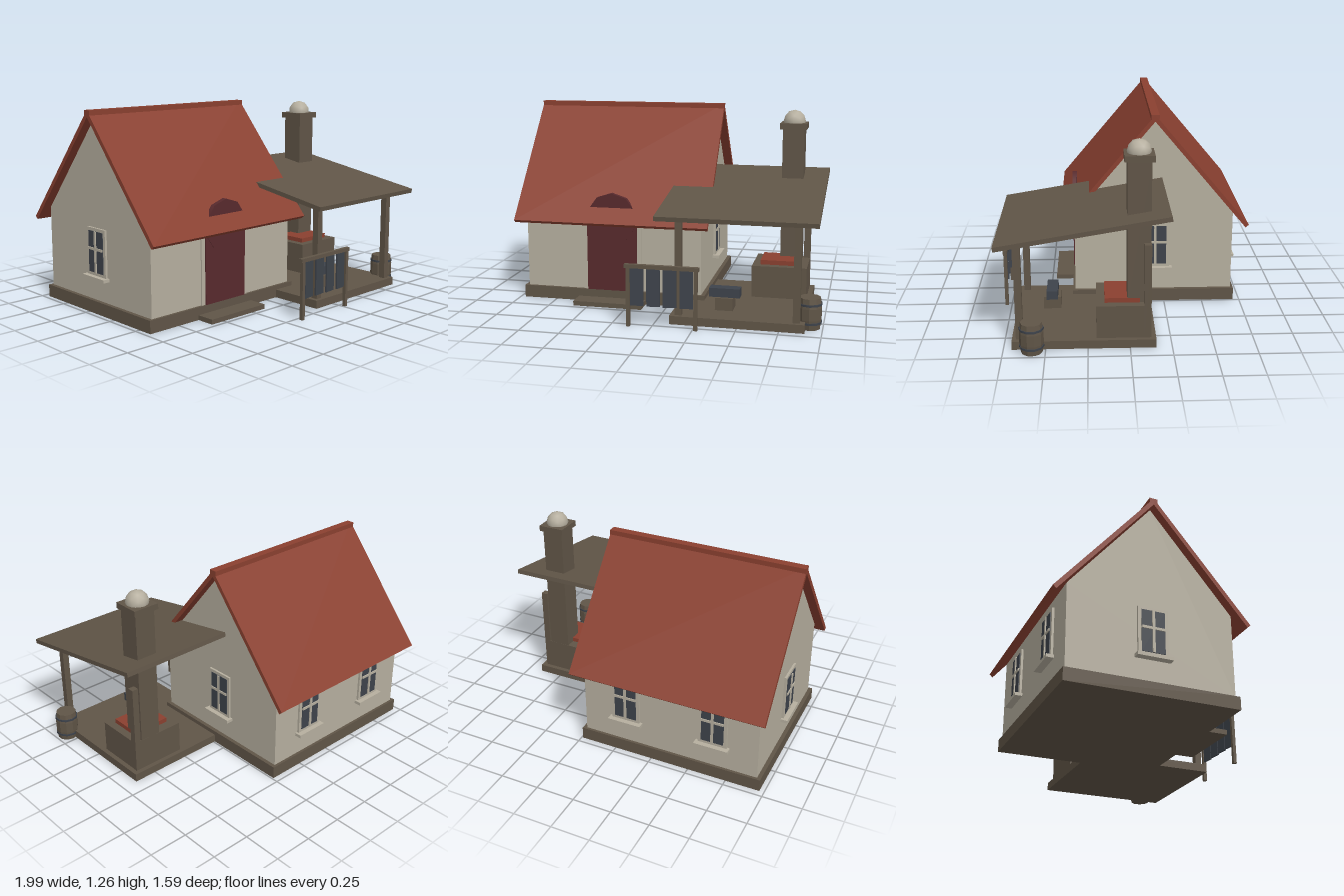
import * as THREE from 'three';

const paint = (name, color) => {
  const m = new THREE.MeshStandardMaterial({ color });
  m.name = name;
  return m;
};

export function createModel() {
  const root = new THREE.Group();
  root.name = 'cottageWithForge';

  const plaster = paint('plaster', 0xb6af9f);
  const tile = paint('redTile', 0x8a4030);
  const timber = paint('brownTimber', 0x605547);
  const maroon = paint('maroonDoor', 0x582a2d);
  const iron = paint('darkIron', 0x3e434b);

  const add = (name, geometry, material, parent = root) => {
    const mesh = new THREE.Mesh(geometry, material);
    mesh.name = name;
    parent.add(mesh);
    return mesh;
  };
  // Box given by its minimum and maximum on each axis
  const box = (name, material, [x0, x1], [y0, y1], [z0, z1], parent = root) => {
    const mesh = add(name, new THREE.BoxGeometry(x1 - x0, y1 - y0, z1 - z0), material, parent);
    mesh.position.set((x0 + x1) / 2, (y0 + y1) / 2, (z0 + z1) / 2);
    return mesh;
  };
  // Side profile, symmetric about the ridge, swept along x
  const ridgeZ = -0.18;
  const sweep = (name, material, points, x0, x1) => {
    const shape = new THREE.Shape(points.map(([z, y]) => new THREE.Vector2(z, y)));
    const geometry = new THREE.ExtrudeGeometry(shape, { depth: x1 - x0, bevelEnabled: false });
    geometry.rotateY(Math.PI / 2);
    add(name, geometry, material).position.set(x0, 0, ridgeZ);
  };

  // House body and roof
  box('foundation', timber, [-0.97, 0.24], [0, 0.08], [-0.71, 0.35]);
  sweep('walls', plaster, [[-0.513, 0.08], [0.513, 0.08], [0.513, 0.6], [0, 1.215], [-0.513, 0.6]], -0.945, 0.215);
  sweep('roof', tile, [[-0.59, 0.517], [0, 1.22], [0.59, 0.517], [0.61, 0.535], [0, 1.262], [-0.61, 0.535]], -1, 0.27);
  box('ridgeCap', tile, [-1, 0.27], [1.225, 1.262], [ridgeZ - 0.026, ridgeZ + 0.026]);

  // Door with a round head that rises through the roof
  box('doorFrame', plaster, [-0.56, -0.175], [0.08, 0.57], [0.32, 0.342]);
  box('door', maroon, [-0.532, -0.202], [0.08, 0.555], [0.325, 0.35]);
  const head = add('doorHead', new THREE.CylinderGeometry(0.165, 0.165, 0.03, 10).rotateX(-Math.PI / 2), maroon);
  head.position.set(-0.367, 0.555, 0.338);
  box('doorStep', timber, [-0.595, -0.145], [0, 0.03], [0.345, 0.47]);

  // Windows, each built facing +z and then turned to its wall
  const addWindow = (x, z, turn) => {
    const w = new THREE.Group();
    w.name = 'window';
    for (const s of [-1, 1]) {
      const a = s * 0.072, b = s * 0.093;
      box('windowJamb', plaster, [Math.min(a, b), Math.max(a, b)], [0.24, 0.54], [0, 0.014], w);
    }
    box('windowHead', plaster, [-0.072, 0.072], [0.52, 0.54], [0, 0.014], w);
    box('windowFoot', plaster, [-0.072, 0.072], [0.24, 0.26], [0, 0.014], w);
    box('windowPane', iron, [-0.072, 0.072], [0.26, 0.52], [0.01, 0.018], w);
    box('windowUpright', plaster, [-0.008, 0.008], [0.26, 0.52], [0.014, 0.025], w);
    box('windowCrossbar', plaster, [-0.072, 0.072], [0.402, 0.418], [0.014, 0.024], w);
    box('windowSill', plaster, [-0.11, 0.11], [0.22, 0.24], [0, 0.045], w);
    w.position.set(x, 0, z);
    w.rotation.y = turn;
    root.add(w);
  };
  addWindow(0.215, -0.19, Math.PI / 2);
  addWindow(-0.945, -0.18, -Math.PI / 2);
  for (const x of [-0.655, -0.075]) addWindow(x, -0.693, Math.PI);

  // Porch deck, posts and lean-to roof
  box('porchDeck', timber, [0.09, 0.9], [0, 0.052], [-0.155, 0.7]);
  for (const [x, z] of [[0.14, 0.655], [0.85, 0.655], [0.85, -0.105]]) {
    box('porchPost', timber, [x - 0.021, x + 0.021], [0.05, 0.635], [z - 0.021, z + 0.021]);
  }
  const porchRoof = box('porchRoof', timber, [0.015, 0.975], [0.731, 0.759], [-0.24, 0.785]);
  porchRoof.rotation.x = Math.atan2(0.17, 1.01);

  // Forge with hot bed, chimney and puff of smoke
  box('forgeBase', timber, [0.52, 0.87], [0.05, 0.257], [-0.126, 0.2]);
  box('forgeCoals', tile, [0.57, 0.82], [0.257, 0.286], [-0.06, 0.15]);
  box('chimney', timber, [0.682, 0.82], [0.25, 1.12], [-0.125, 0.015]);
  box('chimneyCap', timber, [0.664, 0.836], [1.12, 1.157], [-0.143, 0.033]);
  const puff = new THREE.IcosahedronGeometry(0.072, 1);
  add('smokePuff', puff, plaster).position.set(0.75, 1.167, -0.055);

  // Anvil on its block
  box('anvilBlock', timber, [0.34, 0.45], [0.05, 0.13], [0.42, 0.53]);
  box('anvil', iron, [0.3, 0.49], [0.13, 0.186], [0.44, 0.51]);

  // Barrel with iron hoops
  const barrel = new THREE.Group();
  barrel.name = 'barrel';
  barrel.position.set(0.922, 0, 0.58);
  root.add(barrel);
  const staves = [[0, 0], [0.064, 0], [0.072, 0.06], [0.072, 0.13], [0.064, 0.19], [0, 0.19]];
  const stavesGeometry = new THREE.LatheGeometry(staves.map(p => new THREE.Vector2(...p)), 10).toNonIndexed();
  stavesGeometry.computeVertexNormals();
  add('barrelStaves', stavesGeometry, timber, barrel);
  for (const y of [0.04, 0.152]) {
    add('barrelHoop', new THREE.CylinderGeometry(0.074, 0.074, 0.013, 10), iron, barrel).position.y = y;
  }

  // Rack of hanging iron plates
  for (const x of [-0.14, 0.27]) box('rackPost', timber, [x - 0.011, x + 0.011], [0, 0.37], [0.771, 0.793]);
  box('rackRail', timber, [-0.162, 0.29], [0.36, 0.383], [0.769, 0.795]);
  for (let i = 0; i < 4; i++) {
    const x = -0.086 + i * 0.1;
    const plate = box('rackPlate', iron, [x - 0.04, x + 0.04], [0.13, 0.36], [0.777, 0.787]);
    plate.rotation.y = 0.1;
  }

  return root;
}
